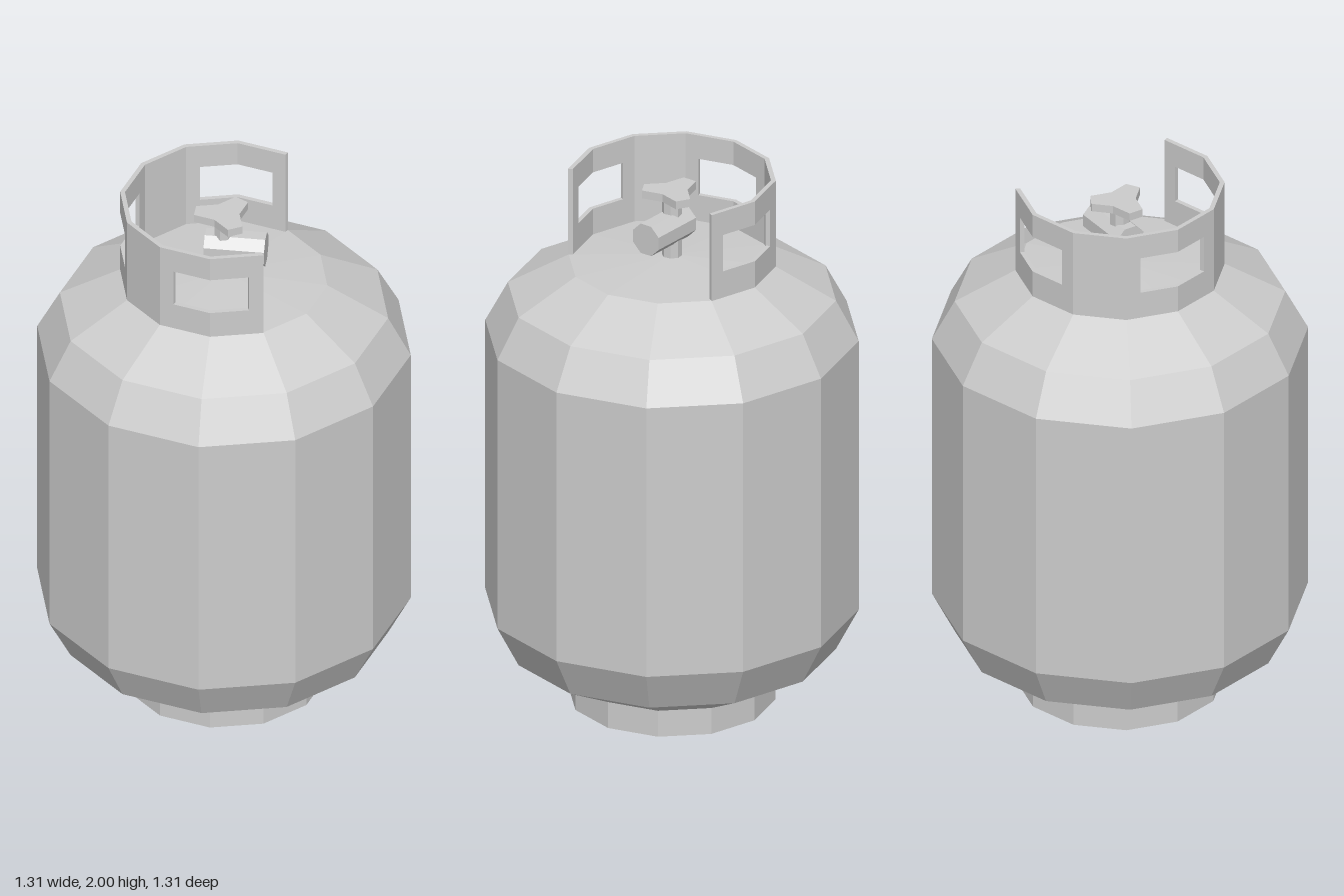
import * as THREE from 'three';

const SIDES = 12;
const TURN = THREE.MathUtils.degToRad(-5); // whole model is turned slightly about y
const STEP = (Math.PI * 2) / SIDES;

const material = new THREE.MeshStandardMaterial({ color: 0xcccccc, flatShading: true });

function addMesh(parent, geometry, name) {
  const mesh = new THREE.Mesh(geometry, material);
  mesh.name = name;
  parent.add(mesh);
  return mesh;
}

// One flat collar panel; window is 'start', 'end' or null for the side it is notched on
function panelGeometry(index, window) {
  const y0 = 1.665, y1 = 2, w0 = 1.77, w1 = 1.91, cut = 0.73;
  const outline = [[0, y0], [1, y0]];
  if (window === 'end') outline.push([1, w0], [1 - cut, w0], [1 - cut, w1], [1, w1]);
  outline.push([1, y1], [0, y1]);
  if (window === 'start') outline.push([0, w1], [cut, w1], [cut, w0], [0, w0]);
  const shape = new THREE.Shape(outline.map(([x, y]) => new THREE.Vector2(x, y)));
  const geometry = new THREE.ExtrudeGeometry(shape, { depth: 1, bevelEnabled: false });

  // Place the panel between two corners of the ring, mitred at both ends
  const a = index * STEP, b = a + STEP;
  const pos = geometry.attributes.position;
  for (let i = 0; i < pos.count; i++) {
    const u = pos.getX(i);
    const r = 0.35 + 0.017 * pos.getZ(i);
    pos.setX(i, r * THREE.MathUtils.lerp(Math.sin(a), Math.sin(b), u));
    pos.setZ(i, r * THREE.MathUtils.lerp(Math.cos(a), Math.cos(b), u));
  }
  geometry.computeVertexNormals();
  return geometry;
}

export function createModel() {
  const model = new THREE.Group();
  model.name = 'gasCylinder';
  model.rotation.y = TURN;

  // Tank body with foot ring and domed shoulder
  const profile = [
    [0, 0], [0.365, 0], [0.365, 0.1], [0.58, 0.21], [0.66, 0.365],
    [0.66, 1.4], [0.58, 1.55], [0.365, 1.67], [0, 1.695],
  ].map(([r, y]) => new THREE.Vector2(r, y));
  addMesh(model, new THREE.LatheGeometry(profile, SIDES), 'tank');

  // Guard collar: eight panels, with three windows wrapped around corners
  const collar = new THREE.Group();
  collar.name = 'collar';
  model.add(collar);
  const windows = ['end', 'start', null];
  for (let i = 0; i < 8; i++) {
    addMesh(collar, panelGeometry(4 + i, windows[i % 3]), 'collarPanel');
  }

  // Valve stem
  const valve = new THREE.Group();
  valve.name = 'valve';
  model.add(valve);
  addMesh(valve, new THREE.CylinderGeometry(0.036, 0.036, 0.25, 8), 'valveStem')
    .position.y = 1.8;

  // Valve outlet: octagonal barrel pointing sideways between the collar ends
  const outlet = new THREE.CylinderGeometry(0.061, 0.061, 0.214, 8);
  outlet.rotateY(Math.PI / 8);
  outlet.rotateX(Math.PI / 2);
  outlet.translate(0, 0, 0.042);
  outlet.rotateY(Math.PI / 3);
  addMesh(valve, outlet, 'valveOutlet').position.y = 1.803;

  // Three-lobed hand wheel
  const points = [];
  for (let i = 0; i < 3; i++) {
    const t = (i * Math.PI * 2) / 3;
    for (const [angle, r] of [[-0.26, 0.106], [0.26, 0.106], [Math.PI / 3, 0.055]]) {
      points.push(new THREE.Vector2(r * Math.sin(t + angle), -r * Math.cos(t + angle)));
    }
  }
  const wheel = new THREE.ExtrudeGeometry(new THREE.Shape(points), { depth: 0.03, bevelEnabled: false });
  wheel.rotateX(-Math.PI / 2);
  addMesh(valve, wheel, 'handWheel').position.y = 1.915;

  return model;
}
